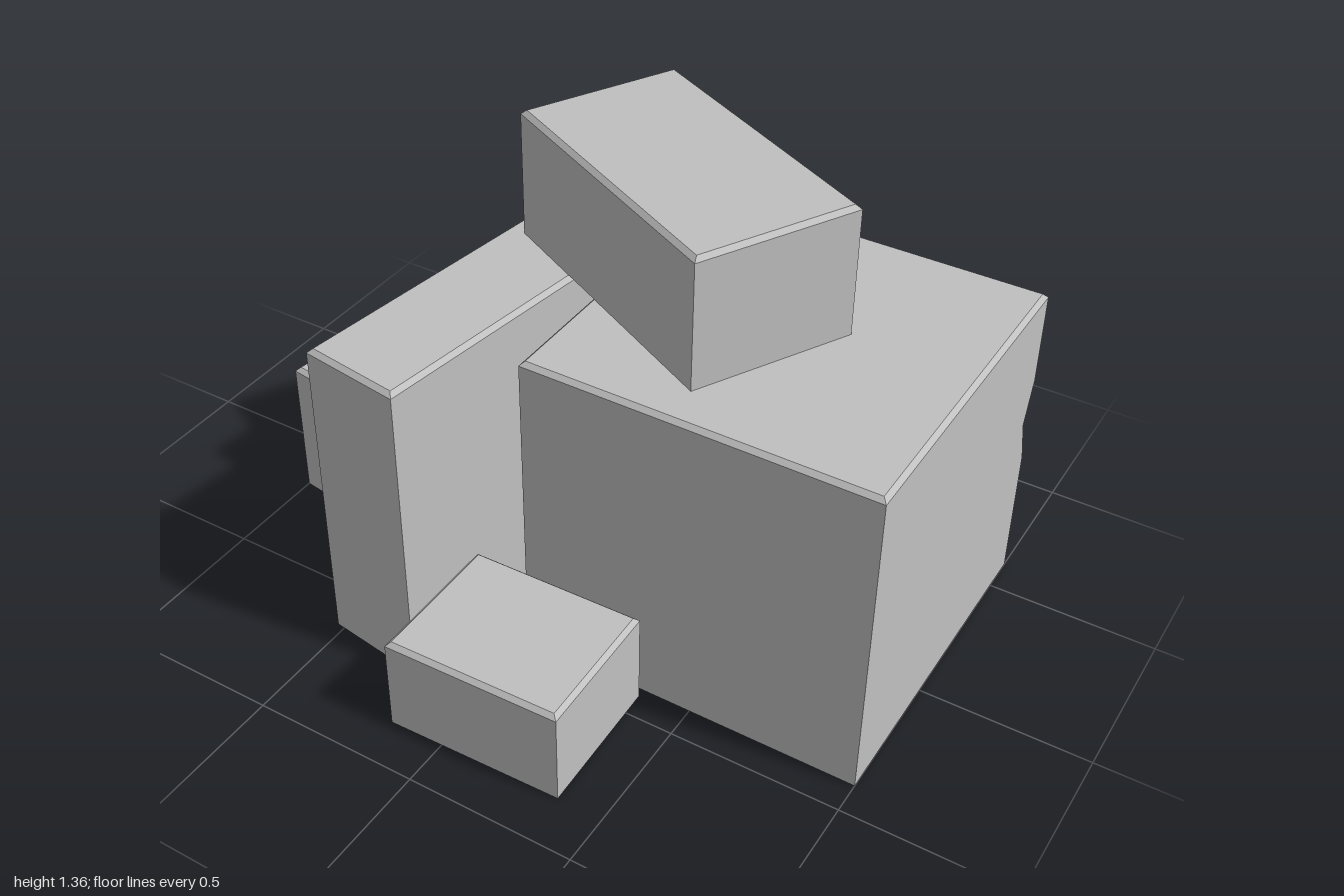
import * as THREE from 'three';

const stone = new THREE.MeshStandardMaterial({ color: 0xc0c0c0 });
stone.name = 'stone grey';

// Skin stacked loops of [x, y, z] corners (clockwise from above) and cap both ends.
function skin(name, loops) {
  const pos = [];
  const tri = (a, b, c) => pos.push(...a, ...b, ...c);
  const n = loops[0].length;
  for (let k = 0; k < loops.length - 1; k++) {
    const lo = loops[k], hi = loops[k + 1];
    for (let i = 0; i < n; i++) {
      const j = (i + 1) % n;
      tri(lo[j], lo[i], hi[i]);
      tri(lo[j], hi[i], hi[j]);
    }
  }
  const bottom = loops[0], top = loops[loops.length - 1];
  for (let i = 1; i < n - 1; i++) {
    tri(bottom[0], bottom[i], bottom[i + 1]);
    tri(top[0], top[i + 1], top[i]);
  }
  const geometry = new THREE.BufferGeometry();
  geometry.setAttribute('position', new THREE.Float32BufferAttribute(pos, 3));
  geometry.computeVertexNormals();
  const mesh = new THREE.Mesh(geometry, stone);
  mesh.name = name;
  return mesh;
}

// Move each corner towards the block's middle along both of its edges.
function inset(corners, d) {
  const n = corners.length;
  return corners.map(([x, z], i) => {
    let px = x, pz = z;
    for (const [qx, qz] of [corners[(i + 1) % n], corners[(i + n - 1) % n]]) {
      const len = Math.hypot(qx - x, qz - z);
      px += (qx - x) / len * d;
      pz += (qz - z) / len * d;
    }
    return [px, pz];
  });
}

// Block with a narrow bevel round its top; chip cuts a nick in the second upright edge.
function block(name, corners, y0, y1, chip) {
  const bevel = 0.013;
  const levels = [[y0, 0, 0], [y1 - bevel, 0, 0], [y1, bevel, 0]];
  if (chip) levels.splice(1, 0, [chip.low, 0, 0], [chip.mid, 0, chip.size], [chip.high, 0, 0]);
  const loops = levels.map(([y, d, cut]) => {
    const [a, b, c, e] = inset(corners, d);
    const points = chip ? [a, [b[0] - cut, b[1]], [b[0], b[1] + cut], c, e] : [a, b, c, e];
    return points.map(([x, z]) => [x, y, z]);
  });
  return skin(name, loops);
}

export function createModel() {
  const group = new THREE.Group();
  group.name = 'stacked blocks';
  group.add(
    block('largeBlock', [[-0.03, -0.61], [1, -0.61], [1, 0.405], [-0.03, 0.4]], 0, 0.97,
      { low: 0.41, mid: 0.55, high: 0.68, size: 0.04 }),
    block('tallSlab', [[-0.32, -0.87], [-0.015, -0.83], [-0.22, 0.685], [-0.525, 0.64]], 0, 0.97),
    block('lowBlock', [[-0.88, -0.66], [-0.395, -0.595], [-0.515, 0.265], [-1, 0.19]], 0, 0.45),
    block('smallBlock', [[-0.165, 0.437], [0.355, 0.427], [0.365, 0.85], [-0.163, 0.863]], 0, 0.297),
    block('topBlock', [[-0.135, -0.555], [0.635, -0.157], [0.405, 0.277], [-0.362, -0.12]], 0.97, 1.36),
  );
  return group;
}
